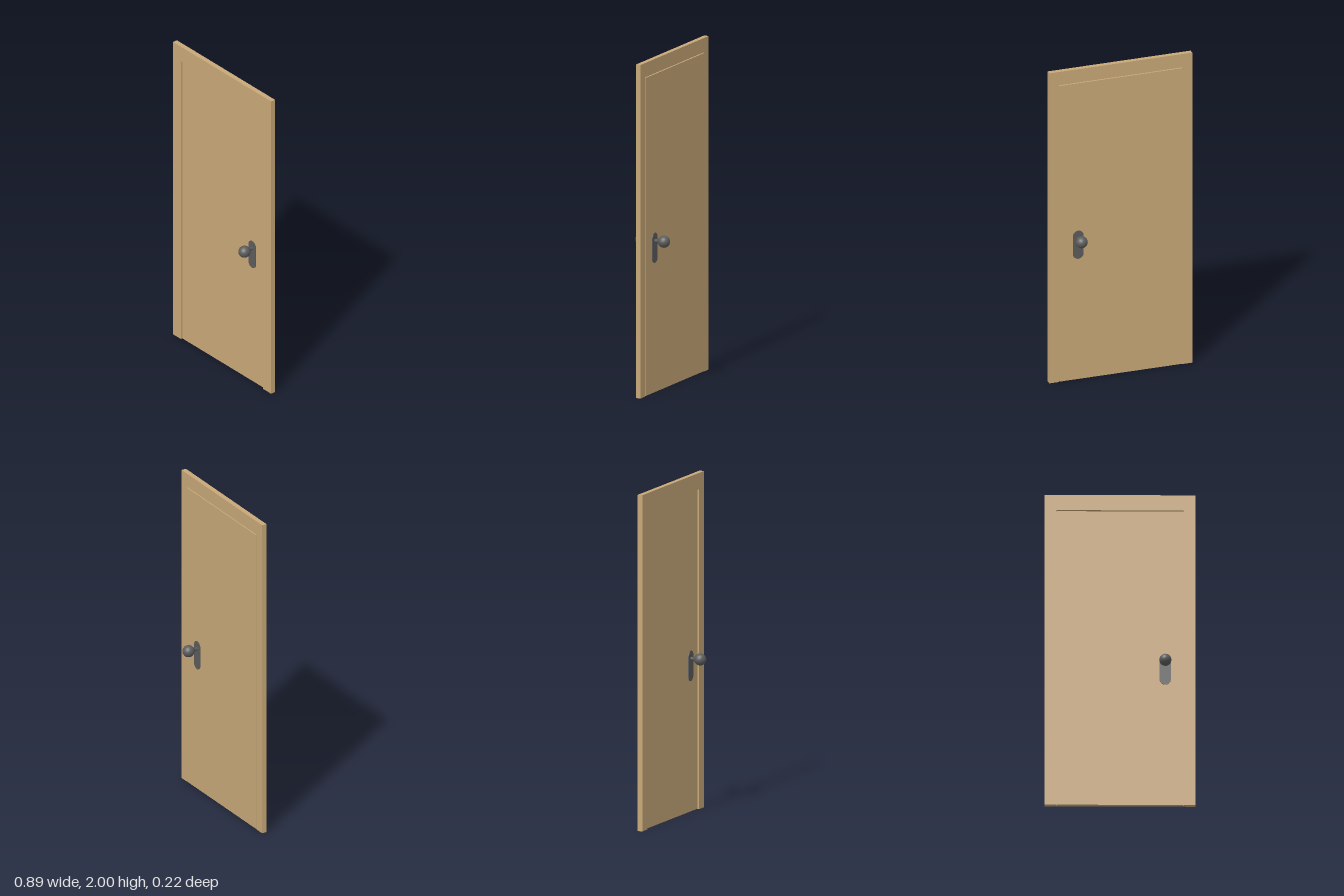
import * as THREE from 'three';

const wood = new THREE.MeshStandardMaterial({ color: 0xc8a878 });
const metal = new THREE.MeshStandardMaterial({ color: 0x5c5c5c });

function addMesh(parent, name, geometry, material) {
  const mesh = new THREE.Mesh(geometry, material);
  mesh.name = name;
  parent.add(mesh);
  return mesh;
}

// Extrudes a shape between two depths
function slab(shape, z0, z1) {
  return new THREE.ExtrudeGeometry(shape, { depth: z1 - z0, bevelEnabled: false, curveSegments: 10 })
    .translate(0, 0, z0);
}

// Upside-down U: two jambs and a head, open at the floor
function frameShape(inner, top) {
  const w = 0.443;
  return new THREE.Shape([
    [-w, 0], [-inner, 0], [-inner, top], [inner, top],
    [inner, 0], [w, 0], [w, 2], [-w, 2],
  ].map(([x, y]) => new THREE.Vector2(x, y)));
}

function panelShape(half, top) {
  return new THREE.Shape([
    [-half, 0.003], [half, 0.003], [half, top], [-half, top],
  ].map(([x, y]) => new THREE.Vector2(x, y)));
}

// Plate and ball knob facing +z, with the knob axis at the origin
function createHandle() {
  const handle = new THREE.Group();
  const r = 0.033;
  const plate = new THREE.Shape();
  plate.absarc(0, 0.015, r, 0, Math.PI, false);
  plate.absarc(0, -0.099, r, Math.PI, Math.PI * 2, false);
  plate.closePath();
  addMesh(handle, 'handlePlate', slab(plate, 0.011, 0.016), metal);

  // Neck flaring into a ball
  const profile = [[0.01, 0.01], [0.01, 0.032], [0.014, 0.037]];
  const start = -0.75, steps = 10;
  for (let i = 0; i <= steps; i++) {
    const a = start + (Math.PI / 2 - start) * i / steps;
    profile.push([i === steps ? 0 : 0.036 * Math.cos(a), 0.074 + 0.036 * Math.sin(a)]);
  }
  const knob = new THREE.LatheGeometry(profile.map(([x, y]) => new THREE.Vector2(x, y)), 20);
  addMesh(handle, 'knob', knob.rotateX(Math.PI / 2), metal);
  return handle;
}

export function createModel() {
  const model = new THREE.Group();
  model.name = 'door';

  // Frame with a wider rebate at the back
  const frame = new THREE.Group();
  frame.name = 'doorFrame';
  addMesh(frame, 'frameFront', slab(frameShape(0.371, 1.902), 0, 0.02), wood);
  addMesh(frame, 'frameRebate', slab(frameShape(0.384, 1.914), -0.01, 0), wood);
  model.add(frame);

  // Door leaf whose back lip closes against the rebate
  const leaf = new THREE.Group();
  leaf.name = 'doorLeaf';
  addMesh(leaf, 'leafFront', slab(panelShape(0.368, 1.899), -0.001, 0.012), wood);
  addMesh(leaf, 'leafLip', slab(panelShape(0.38, 1.91), -0.012, -0.001), wood);
  model.add(leaf);

  // Matching handles on both faces
  for (const side of ['front', 'back']) {
    const handle = createHandle();
    handle.name = side + 'Handle';
    handle.position.set(0.265, 0.912, 0);
    if (side === 'back') handle.rotation.y = Math.PI;
    model.add(handle);
  }
  return model;
}
